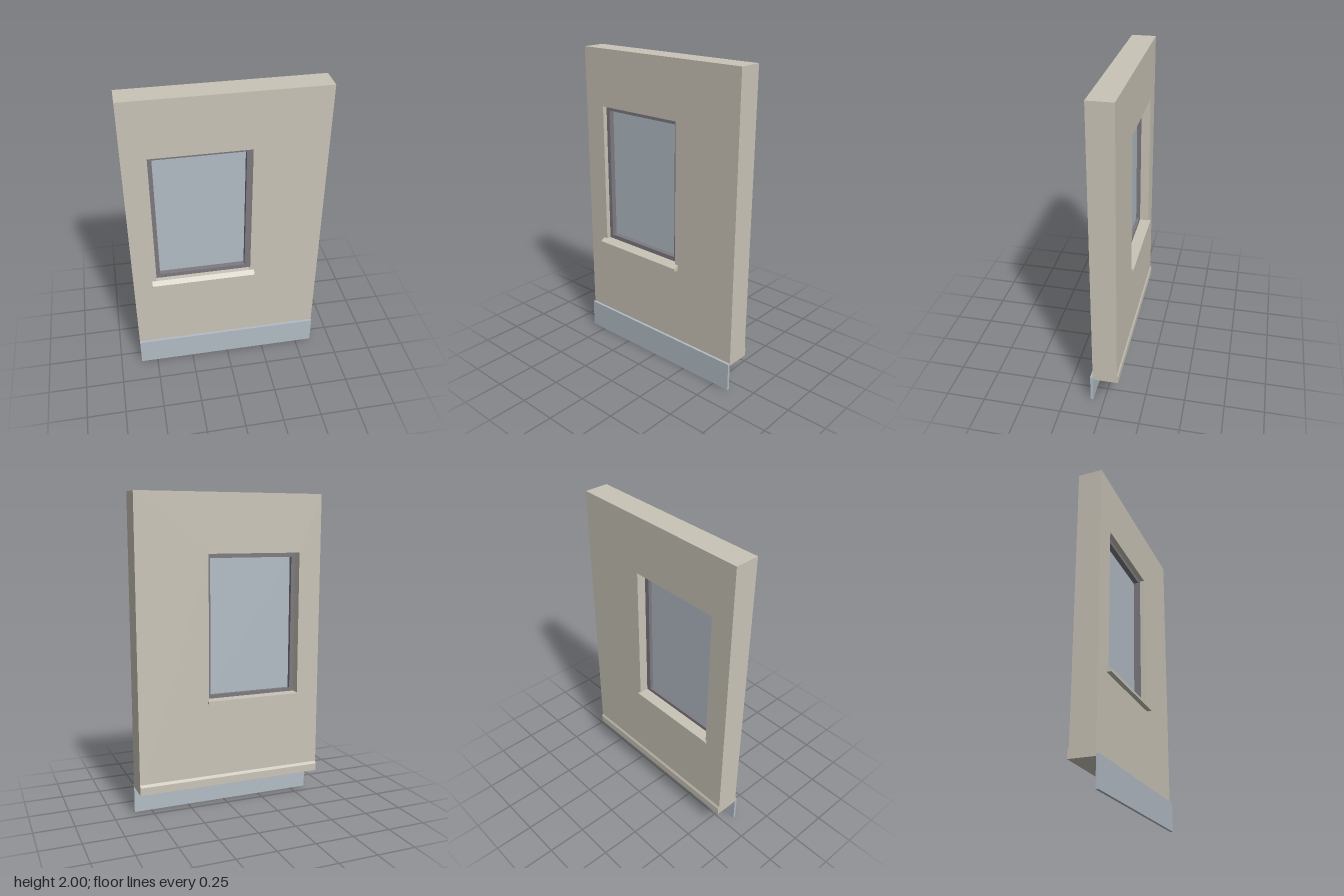
import * as THREE from 'three';

const material = (name, color) => {
  const m = new THREE.MeshStandardMaterial({ color });
  m.name = name;
  return m;
};

export function createModel() {
  const group = new THREE.Group();
  const plaster = material('beige plaster', 0xc9c4b7);
  const frameGrey = material('frame grey', 0x7d7a80);
  const paleBlue = material('pale blue', 0xb2bcc5);

  const add = (name, geometry, mat) => {
    const mesh = new THREE.Mesh(geometry, mat);
    mesh.name = name;
    group.add(mesh);
    return mesh;
  };

  // Box given by its limits on each axis
  const box = (name, [x0, x1], [y0, y1], [z0, z1], mat) => {
    const g = new THREE.BoxGeometry(x1 - x0, y1 - y0, z1 - z0);
    g.translate((x0 + x1) / 2, (y0 + y1) / 2, (z0 + z1) / 2);
    return add(name, g, mat);
  };

  const corners = (x0, x1, y0, y1) =>
    [[x0, y0], [x1, y0], [x1, y1], [x0, y1]].map(([x, y]) => new THREE.Vector2(x, y));

  // Rectangular plate with a rectangular opening
  const pierced = (name, outer, inner, z0, z1, mat) => {
    const shape = new THREE.Shape(corners(...outer));
    shape.holes.push(new THREE.Path(corners(...inner)));
    const g = new THREE.ExtrudeGeometry(shape, { depth: z1 - z0, bevelEnabled: false });
    g.translate(0, 0, z0);
    return add(name, g, mat);
  };

  // (z, y) profile swept along x
  const moulding = (name, profile, x0, x1, mat) => {
    const shape = new THREE.Shape(profile.map(([z, y]) => new THREE.Vector2(-z, y)));
    const g = new THREE.ExtrudeGeometry(shape, { depth: x1 - x0, bevelEnabled: false });
    g.rotateY(Math.PI / 2);
    g.translate(x0, 0, 0);
    return add(name, g, mat);
  };

  const front = 0.07, back = -0.084;
  const opening = [-0.46, 0.155, 0.72, 1.636];
  const pane = [-0.433, 0.123, 0.748, 1.608];

  pierced('wall', [-0.61, 0.61, 0.17, 2], opening, back, front, plaster);

  // Window set back in the opening
  pierced('windowFrame', opening, pane, -0.025, 0.04, frameGrey);
  box('windowPane', [pane[0], pane[1]], [pane[2], pane[3]], [-0.002, 0.006], paleBlue);

  // Sloping outer sill and flat inner sill
  moulding('outerSill', [[0.06, 0.682], [0.1, 0.682], [0.1, 0.701], [0.07, 0.72], [0.06, 0.72]],
    -0.49, 0.18, plaster);
  box('innerSill', [-0.47, 0.163], [0.709, 0.725], [-0.1, -0.025], plaster);

  // Skirting with a sloped top on the back, plinth strip on the front
  moulding('skirting', [[back, 0.17], [-0.092, 0.17], [-0.092, 0.218], [back, 0.235]],
    -0.61, 0.61, plaster);
  box('plinthStrip', [-0.61, 0.61], [0, 0.185], [front, 0.087], paleBlue);

  return group;
}
